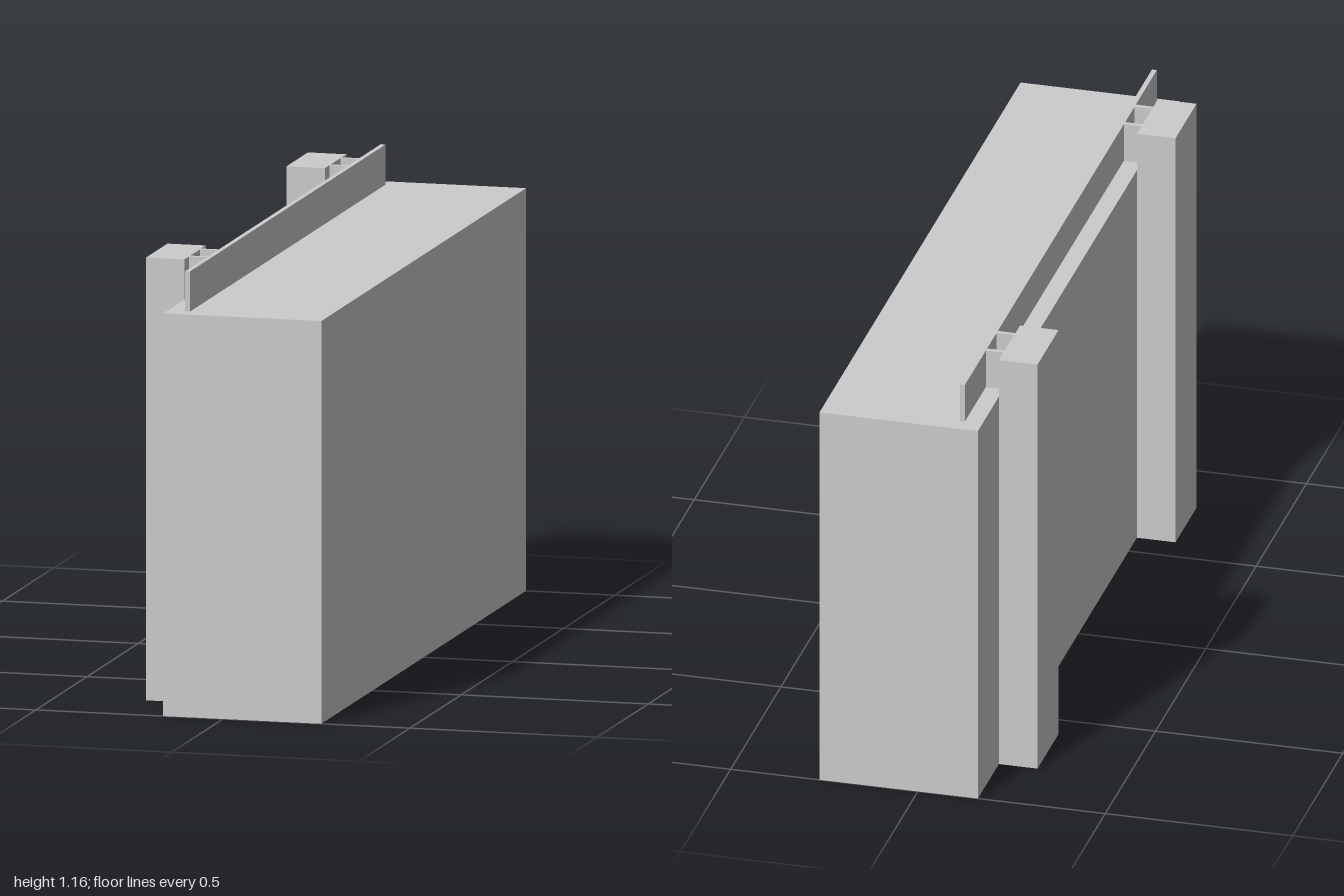
import * as THREE from 'three';

export function createModel() {
  const model = new THREE.Group();
  const material = new THREE.MeshStandardMaterial({ color: 0xcccccc, flatShading: true });

  // Box given by its min and max on each axis
  function addBox(name, [x0, x1], [y0, y1], [z0, z1]) {
    const mesh = new THREE.Mesh(new THREE.BoxGeometry(x1 - x0, y1 - y0, z1 - z0), material);
    mesh.position.set((x0 + x1) / 2, (y0 + y1) / 2, (z0 + z1) / 2);
    mesh.name = name;
    model.add(mesh);
  }

  const bodyTop = 1.055, top = 1.16;
  const backX = -0.263, bodyX = -0.16, plateX = -0.113, plateFrontX = -0.1;

  // Main block and the thin upright plate along its top
  addBox('body', [bodyX, 0.263], [0, bodyTop], [-1, 1]);
  addBox('topPlate', [plateX, plateFrontX], [bodyTop, top], [-0.955, 0.955]);

  // Two posts, each tied to the plate by a pair of thin webs
  for (const side of [-1, 1]) {
    const z = side * 0.686;
    addBox('post', [backX, bodyX], [0, top], [z - 0.105, z + 0.105]);
    for (const offset of [-0.053, 0.053]) {
      const w = z + offset;
      addBox('web', [bodyX, plateX], [bodyTop, top], [w - 0.0065, w + 0.0065]);
    }
  }

  return model;
}
